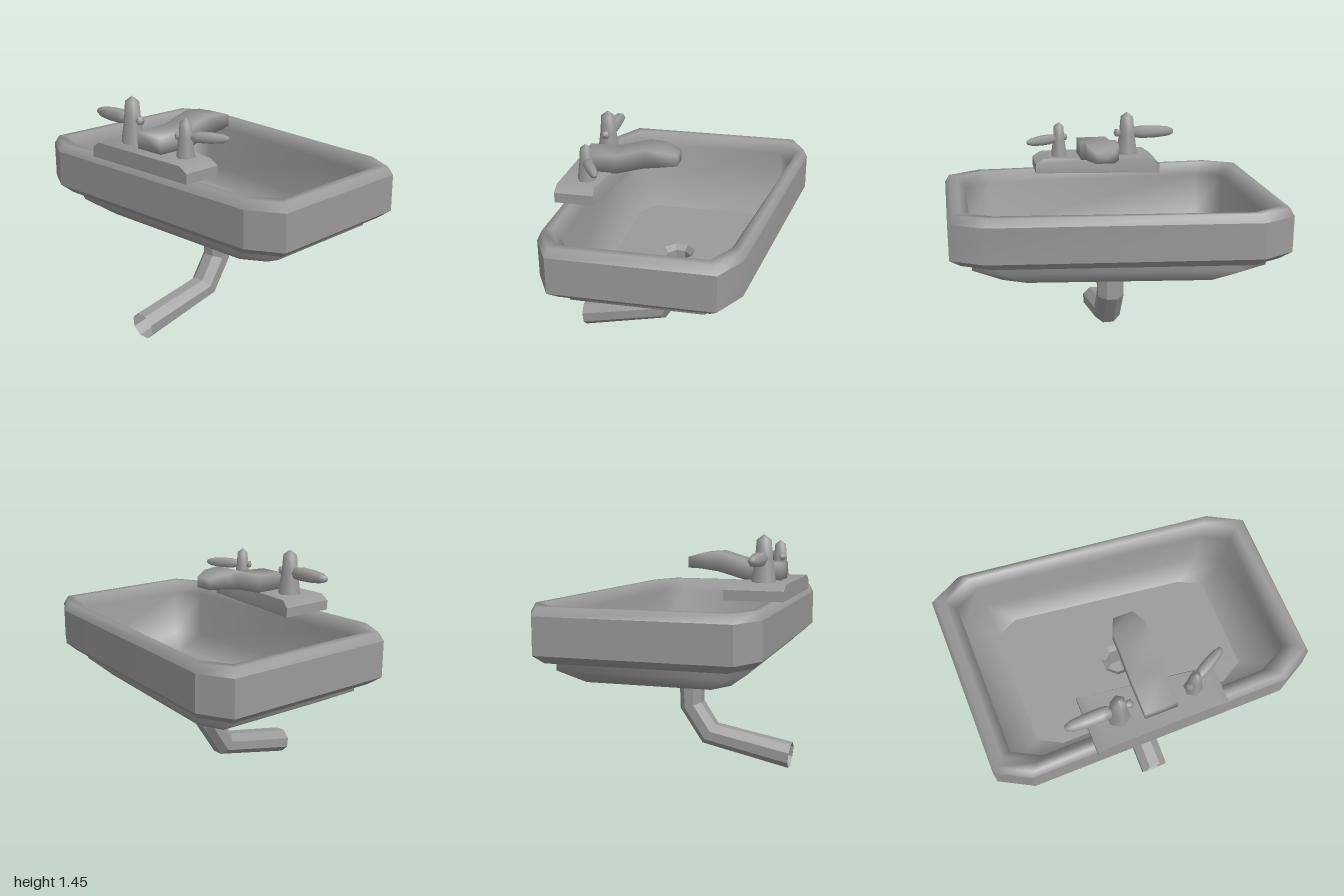
import * as THREE from 'three';
import { toCreasedNormals } from 'three/addons/utils/BufferGeometryUtils.js';

const material = new THREE.MeshStandardMaterial({ color: 0x9a9a9a, side: THREE.DoubleSide });

// Skin a list of closed rings (arrays of [x, y, z]) with quads
function loft(rings, crease) {
  const n = rings[0].length, index = [];
  for (let i = 0; i < rings.length - 1; i++) {
    for (let j = 0; j < n; j++) {
      const a = i * n + j, b = i * n + (j + 1) % n, c = a + n, d = b + n;
      index.push(a, c, b, b, c, d);
    }
  }
  const g = new THREE.BufferGeometry();
  g.setAttribute('position', new THREE.Float32BufferAttribute(rings.flat(2), 3));
  g.setIndex(index);
  g.computeVertexNormals();
  return crease === undefined ? g : toCreasedNormals(g, crease);
}

function part(name, geometry, parent) {
  const mesh = new THREE.Mesh(geometry, material);
  mesh.name = name;
  parent.add(mesh);
  return mesh;
}

// Plan outlines [x, z]: skewed rectangles with cut corners
const OUTER = [[-1, -0.59], [-0.8, -0.69], [0.8, -0.51], [1, -0.4], [1, 0.55], [0.8, 0.66], [-0.8, 0.66], [-1, 0.55]];
const INNER = [[-0.87, -0.505], [-0.7, -0.585], [0.71, -0.405], [0.87, -0.31], [0.87, 0.46], [0.7, 0.55], [-0.7, 0.55], [-0.87, 0.46]];
const FLOOR = [[-0.69, -0.4], [-0.55, -0.465], [0.55, -0.32], [0.69, -0.245], [0.69, 0.345], [0.55, 0.425], [-0.55, 0.425], [-0.69, 0.345]];
const T = Math.tan(Math.PI / 8);
const OCTAGON = [[-1, -T], [-T, -1], [T, -1], [1, -T], [1, T], [T, 1], [-T, 1], [-1, T]];

const level = (outline, y) => outline.map(([x, z]) => [x, y, z]);
// Ring part way from the outer outline to the inner one
const between = (t, y) => OUTER.map(([x, z], i) => [x + (INNER[i][0] - x) * t, y, z + (INNER[i][1] - z) * t]);

// Octagonal pipe ring spanning two opposite points given as [z, y]
const pipeRing = ([[z1, y1], [z0, y0], half]) => OCTAGON.map(([u, v]) => {
  const t = (v + 1) / 2;
  return [-0.018 + u * half, y0 + (y1 - y0) * t, z0 + (z1 - z0) * t];
});

// Tap: six-sided flared post with a lever turned about it
function tap(name, x, z, height, r, leverY, leverProfile, turn) {
  const group = new THREE.Group();
  group.name = name;
  group.position.set(x, 0, z);
  const post = [[1.6, 1.16], [1.52, 1.19], [1.15, 1.18 + height * 0.45], [0.95, 1.17 + height * 0.88], [0, 1.17 + height]]
    .map(([k, y]) => new THREE.Vector2(k * r, y));
  part('tapPost', new THREE.LatheGeometry(post, 6), group);
  const lever = part('tapLever', new THREE.LatheGeometry(leverProfile.map(([lr, d]) => new THREE.Vector2(lr, d)), 6), group);
  // Lay the lever along +x, then turn it
  lever.rotation.set(0, turn, -Math.PI / 2, 'YXZ');
  lever.position.y = leverY;
  return group;
}

export function createModel() {
  const model = new THREE.Group();
  model.name = 'washbasin';

  // Basin: outer wall, underside, rounded rim with bowl, floor with drain opening
  const basin = new THREE.Group();
  basin.name = 'basin';
  model.add(basin);
  part('basinWall', loft([between(0, 0.8), between(0, 1.02)], 0.4), basin);
  part('basinUnderside', loft([between(1, 0.75), between(0.5, 0.75), between(0, 0.8)], 0.7), basin);
  part('rimAndBowl', loft([between(0, 1.02), between(0.2, 1.07), between(0.6, 1.07), level(INNER, 1.0),
    level(INNER, 0.7), level(FLOOR, 0.605)]), basin);

  // Drain pipe, listed from its open end up to the funnel
  const drain = [
    [[0.683, 0.15], [0.668, 0], 0.083],
    [[0.2, 0.24], [0.115, 0.12], 0.083],
    [[0.108, 0.38], [-0.033, 0.34], 0.083],
    [[0.108, 0.57], [-0.035, 0.57], 0.083],
    [[0.135, 0.605], [-0.065, 0.605], 0.107],
  ].map(pipeRing);
  part('bowlFloor', loft([level(FLOOR, 0.605), drain[4]], 0.4), basin);
  part('drainPipe', loft(drain, 0.4), model);

  // Tap deck: chamfered plate whose back edge follows the skewed bowl
  const deckShape = new THREE.Shape([[-0.405, 1.075], [0.405, 1.075], [0.405, 1.135], [0.35, 1.17], [-0.35, 1.17], [-0.405, 1.135]]
    .map(([x, y]) => new THREE.Vector2(x, y)));
  const deck = new THREE.ExtrudeGeometry(deckShape, { depth: 1, bevelEnabled: false });
  const p = deck.attributes.position;
  for (let i = 0; i < p.count; i++) {
    const slope = p.getY(i) > 1.15 ? 0.015 : 0;
    p.setZ(i, p.getZ(i) > 0.5 ? 0.693 : 0.395 + p.getX(i) * 0.14 + slope);
  }
  part('tapDeck', toCreasedNormals(deck, 0.7), model);

  // Spout: soft-shaded rectangular sections [z, top, bottom, half width] with closed ends
  const sections = [
    [0.613, 1.22, 1.22, 0], [0.613, 1.27, 1.165, 0.1], [0.4, 1.28, 1.165, 0.1], [0.22, 1.333, 1.215, 0.1],
    [0.11, 1.323, 1.23, 0.1], [0.02, 1.297, 1.23, 0.06], [0.02, 1.26, 1.26, 0],
  ];
  part('spout', loft(sections.map(([z, top, low, w]) =>
    [[0.012 + w, top, z], [0.012 - w, top, z], [0.012 - w, low, z], [0.012 + w, low, z]])), model);

  // Taps, with lever profiles as [radius, distance from post]
  model.add(tap('rightTap', -0.22, 0.535, 0.28, 0.047, 1.31,
    [[0, -0.09], [0.025, -0.08], [0.028, -0.065], [0.018, -0.05], [0.018, 0.045], [0.038, 0.055],
      [0.044, 0.1], [0.042, 0.2], [0.033, 0.28], [0.018, 0.315], [0, 0.32]], Math.PI));
  model.add(tap('leftTap', 0.24, 0.54, 0.225, 0.036, 1.29,
    [[0, -0.065], [0.022, -0.055], [0.024, -0.045], [0.015, -0.035], [0.015, 0.035], [0.028, 0.045],
      [0.034, 0.08], [0.034, 0.15], [0.026, 0.22], [0.014, 0.25], [0, 0.255]], 0.51));
  return model;
}
